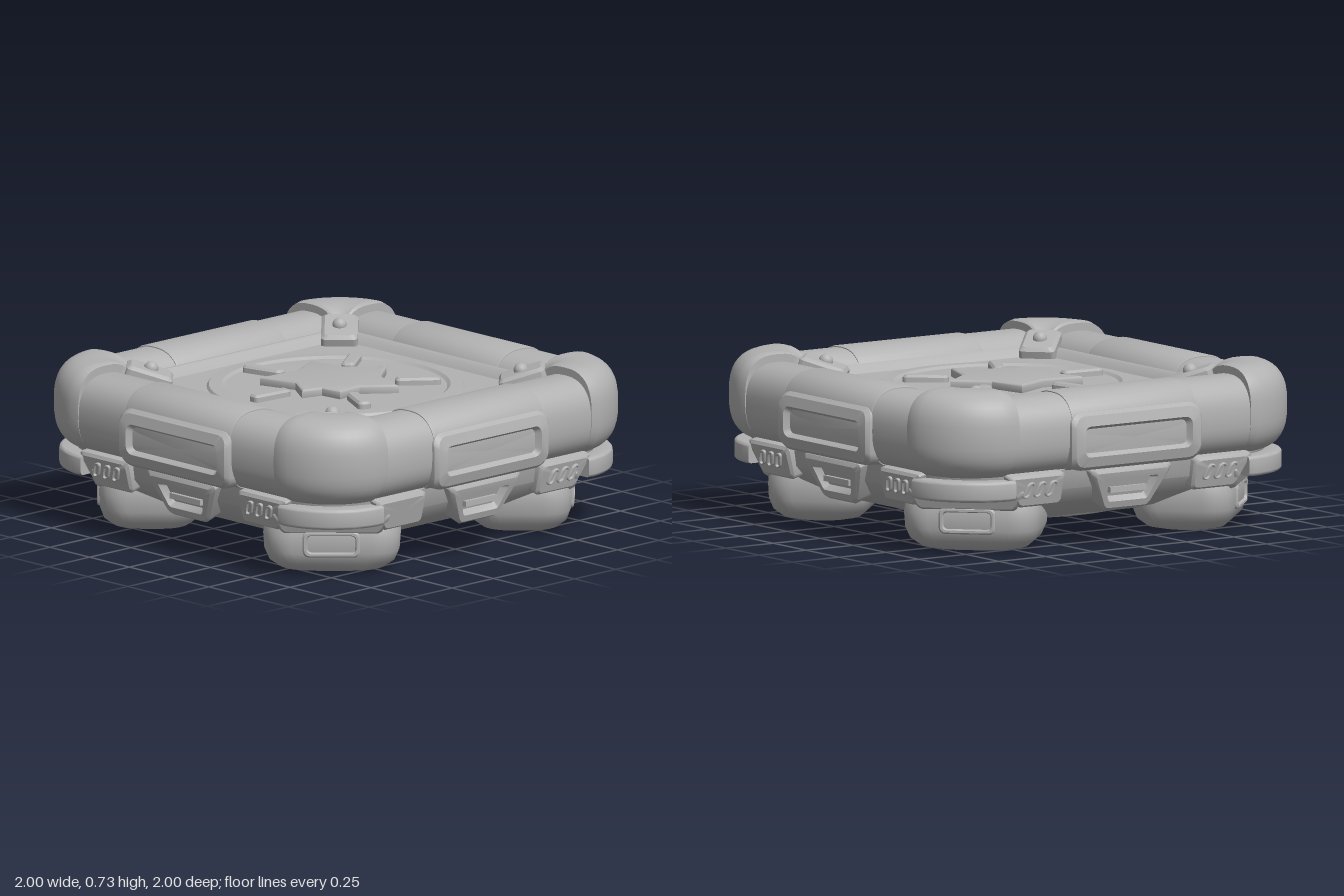
import * as THREE from 'three';
import { toCreasedNormals } from 'three/addons/utils/BufferGeometryUtils.js';

const V = (x, y, z) => new THREE.Vector3(x, y, z);
const grey = new THREE.MeshStandardMaterial({ color: 0xb2b2b2 });
grey.name = 'grey';

function part(parent, name, geometry) {
  const mesh = new THREE.Mesh(geometry, grey);
  mesh.name = name;
  parent.add(mesh);
  return mesh;
}

// Skin a list of equal-length rings, cap both ends and turn the faces outward
function loft(rings, crease = 0.6) {
  const n = rings[0].length, last = rings.length - 1;
  const pts = rings.flat(), tris = [];
  for (let i = 0; i < last; i++) for (let j = 0; j < n; j++) {
    const k = (j + 1) % n, a = i * n + j, b = i * n + k;
    tris.push(a, b, b + n, a, b + n, a + n);
  }
  [0, last].forEach((i) => {
    const mid = pts.length;
    pts.push(rings[i].reduce((s, p) => s.add(p), V(0, 0, 0)).divideScalar(n));
    for (let j = 0; j < n; j++) {
      const a = i * n + j, b = i * n + (j + 1) % n;
      if (i) tris.push(mid, a, b); else tris.push(mid, b, a);
    }
  });
  let volume = 0;
  for (let t = 0; t < tris.length; t += 3) {
    volume += pts[tris[t]].dot(V(0, 0, 0).crossVectors(pts[tris[t + 1]], pts[tris[t + 2]]));
  }
  if (volume < 0) tris.reverse();
  const geometry = new THREE.BufferGeometry().setFromPoints(pts);
  geometry.setIndex(tris);
  geometry.computeVertexNormals();
  return toCreasedNormals(geometry, crease);
}

// Rounded rectangle outline from half sizes and corner radius
function roundRect(w, h, r, steps = 6) {
  const out = [];
  for (let c = 0; c < 4; c++) for (let i = 0; i <= steps; i++) {
    const a = (c + i / steps) * Math.PI / 2;
    const sx = c === 0 || c === 3 ? 1 : -1, sy = c < 2 ? 1 : -1;
    out.push([sx * (w - r) + r * Math.cos(a), sy * (h - r) + r * Math.sin(a)]);
  }
  return out;
}

// Squarish oval outline for the cushions
function oval(w, h, e = 2.5, n = 40) {
  const f = (v) => Math.sign(v) * Math.abs(v) ** (2 / e);
  return Array.from({ length: n }, (_, i) => {
    const a = i / n * Math.PI * 2;
    return [w * f(Math.cos(a)), h * f(Math.sin(a))];
  });
}

const flatRing = (w, d, r, y) => roundRect(w, d, r).map(([x, z]) => V(x, y, z));
const squareStack = (levels) => loft(levels.map(([half, r, y]) => flatRing(half, half, r, y)));

// Straight bar along x, tapering a little at its ends
function bar(outline, length, y, z) {
  return loft([[-1, 0.98], [-0.97, 1], [0.97, 1], [1, 0.98]].map(([t, s]) =>
    outline.map(([u, v]) => V(t * length, y + v * s, z + u * s))));
}

// Quarter bend around the corner pivot
function bend(outline, pivot, radius, y) {
  const steps = 14;
  return loft(Array.from({ length: steps + 1 }, (_, i) => {
    const a = i / steps * Math.PI / 2, s = i === 0 || i === steps ? 0.96 : 1;
    return outline.map(([u, v]) =>
      V(pivot + (radius + u * s) * Math.cos(a), y + v * s, pivot + (radius + u * s) * Math.sin(a)));
  }));
}

// Raised pad with a sunken middle, facing +z; rim front at z = 0
function recessedPad(w, h, rim, { back = 0.08, sink = 0.025, taper = 0, skew = 0, bow = 0, round = 0.45 } = {}) {
  const b = Math.min(0.015, rim * 0.4);
  const levels = [[0, -back], [0, -b], [b, 0], [rim, 0], [rim + b, -sink]];
  return loft(levels.map(([inset, z]) => {
    const hw = w - inset, hh = h - inset;
    return roundRect(hw, hh, Math.min(hw, hh) * round, 4)
      .map(([x, y]) => V(x * (1 + taper * y / h) + skew * y, y, z - bow * y * y));
  }));
}

// Cushion and body details for one of the four sides
function makeSide(index) {
  const side = new THREE.Group();
  side.name = 'side';
  part(side, 'sideCushion', bar(oval(0.165, 0.173), 0.64, 0.515, 0.8));
  part(side, 'cushionSleeve', bar(oval(0.17, 0.181), 0.33, 0.515, 0.8));
  part(side, 'handlePad', recessedPad(0.345, 0.128, 0.06, { bow: 1.6, sink: 0.028 }))
    .position.set(0, 0.485, 1);
  const vent = part(side, 'centreVent', recessedPad(0.17, 0.1, 0.045,
    { taper: 0.32, back: 0.12, sink: 0.03, round: 0.25 }));
  vent.position.set(0, 0.25, 0.925);
  vent.rotation.x = 0.3;
  part(side, 'ventBar', new THREE.BoxGeometry(0.19, 0.025, 0.05)).position.set(0, 0.25, 0.89);
  for (const s of [-1, 1]) {
    const panel = new THREE.Group();
    panel.name = 'slitPanel';
    panel.position.set(s * 0.48, 0.28, 0.92);
    panel.rotation.x = 0.25;
    side.add(panel);
    const plate = loft([[0, -0.12], [0, -0.012], [0.012, 0]].map(([inset, z]) =>
      roundRect(0.135 - inset, 0.075 - inset, 0.02, 3)
        .map(([x, y]) => V(x * (1 + 2 * y) + s * 0.25 * y, y, z))));
    part(panel, 'panelPlate', plate);
    if (index === 0 && s < 0) continue;
    for (let i = -1; i <= 1; i++) {
      part(panel, 'slit', recessedPad(0.019, 0.036, 0.006, { skew: 0.4, back: 0.02, sink: 0.011, round: 0.9 }))
        .position.set(i * 0.06, 0.01, 0.012);
    }
  }
  return side;
}

// Cushion cap, belt, bracket and foot for one corner
function makeCorner() {
  const corner = new THREE.Group();
  corner.name = 'corner';
  part(corner, 'cornerCushion', bend(oval(0.178, 0.195, 2.7), 0.615, 0.183, 0.535));
  part(corner, 'cornerBelt', bend(roundRect(0.05, 0.045, 0.015, 3), 0.62, 0.28, 0.295));

  // Parts lying on the diagonal, with local z pointing out of the corner
  const diagonal = new THREE.Group();
  diagonal.name = 'diagonalParts';
  diagonal.rotation.y = Math.PI / 4;
  corner.add(diagonal);
  const levels = [[0.19, 0.13, 0.003], [0.235, 0.17, 0.015], [0.275, 0.205, 0.05],
    [0.295, 0.222, 0.1], [0.3, 0.225, 0.17], [0.29, 0.21, 0.25], [0.24, 0.17, 0.3]];
  part(diagonal, 'foot', loft(levels.map(([w, d, y]) => flatRing(w, d, 0.125, y)), 1))
    .position.z = 0.805;
  const slot = part(diagonal, 'footSlot', recessedPad(0.125, 0.058, 0.016, { sink: 0.015, back: 0.05 }));
  slot.position.set(0, 0.145, 1.04);
  const guard = part(diagonal, 'footGuard', loft([[0, -0.15], [0, -0.015], [0.015, 0]].map(([inset, z]) =>
    roundRect(0.24 - inset, 0.05 - inset, 0.02, 3).map(([x, y]) => V(x * (1 + 2 * y), y, z)))));
  guard.position.set(0, 0.235, 1.055);
  guard.rotation.x = 0.35;

  const bracket = new THREE.Group();
  bracket.name = 'bracket';
  bracket.position.set(0, 0.65, 0.815);
  bracket.rotation.x = -0.3;
  diagonal.add(bracket);
  part(bracket, 'bracketPlate', loft([[0, -0.06], [0, 0.015], [0.015, 0.03]].map(([inset, y]) =>
    flatRing(0.08 - inset, 0.105 - inset, 0.02, y))));
  part(bracket, 'bracketKnob', new THREE.SphereGeometry(0.032, 16, 10)).position.y = 0.03;
  return corner;
}

// Sunken deck with a round medallion, star and rays
function makeDeck() {
  const deck = new THREE.Group();
  deck.name = 'deck';
  part(deck, 'deckFloor', squareStack([[0.72, 0.06, 0.35], [0.68, 0.06, 0.56], [0.655, 0.06, 0.635],
    [0.63, 0.05, 0.64], [0.612, 0.05, 0.632], [0.59, 0.06, 0.602]]));
  const profile = [[0.57, 0.595], [0.555, 0.613], [0.5, 0.615], [0.485, 0.604], [0, 0.606]];
  part(deck, 'medallion', toCreasedNormals(new THREE.LatheGeometry(
    profile.map(([x, y]) => new THREE.Vector2(x, y)), 64), 0.3));

  const outline = [[-0.22, -0.22], [-0.03, -0.2], [0.125, -0.28], [0.155, -0.11], [0.285, 0],
    [0.155, 0.1], [0.095, 0.27], [-0.03, 0.17], [-0.15, 0.18], [-0.16, 0.08], [-0.25, 0.06], [-0.17, -0.06]];
  const star = new THREE.ExtrudeGeometry(
    new THREE.Shape(outline.map(([x, z]) => new THREE.Vector2(x, -z))),
    { depth: 0.03, bevelThickness: 0.01, bevelSize: 0.015, bevelSegments: 3 });
  const starMesh = part(deck, 'star', toCreasedNormals(star, 0.6));
  starMesh.rotation.x = -Math.PI / 2;
  starMesh.position.y = 0.602;

  for (const [x, z] of [[-0.08, -0.37], [0.31, -0.225], [0.28, 0.225], [-0.16, 0.31], [-0.37, -0.03]]) {
    const ray = part(deck, 'ray', loft([[0, -0.01], [0, 0.022], [0.01, 0.032]].map(([inset, y]) =>
      flatRing(0.1 - inset, 0.03 - inset, 0.02 - inset, y))));
    ray.position.set(x, 0.604, z);
    ray.rotation.y = -Math.atan2(z, x);
  }
  return deck;
}

export function createModel() {
  const model = new THREE.Group();
  model.name = 'cushionedPlatform';

  // Tapered lower body and round base plate
  part(model, 'chassis', squareStack([[0.58, 0.3, 0.1], [0.7, 0.34, 0.13], [0.82, 0.36, 0.2],
    [0.885, 0.34, 0.27], [0.9, 0.33, 0.36], [0.8, 0.3, 0.4]]));
  part(model, 'basePlate', new THREE.CylinderGeometry(0.53, 0.51, 0.04, 64)).position.y = 0.11;
  const rim = part(model, 'baseRim', new THREE.TorusGeometry(0.53, 0.016, 10, 64));
  rim.rotation.x = Math.PI / 2;
  rim.position.y = 0.1;

  model.add(makeDeck());
  for (let i = 0; i < 4; i++) {
    for (const piece of [makeSide(i), makeCorner()]) {
      piece.rotation.y = i * Math.PI / 2;
      model.add(piece);
    }
  }
  return model;
}
